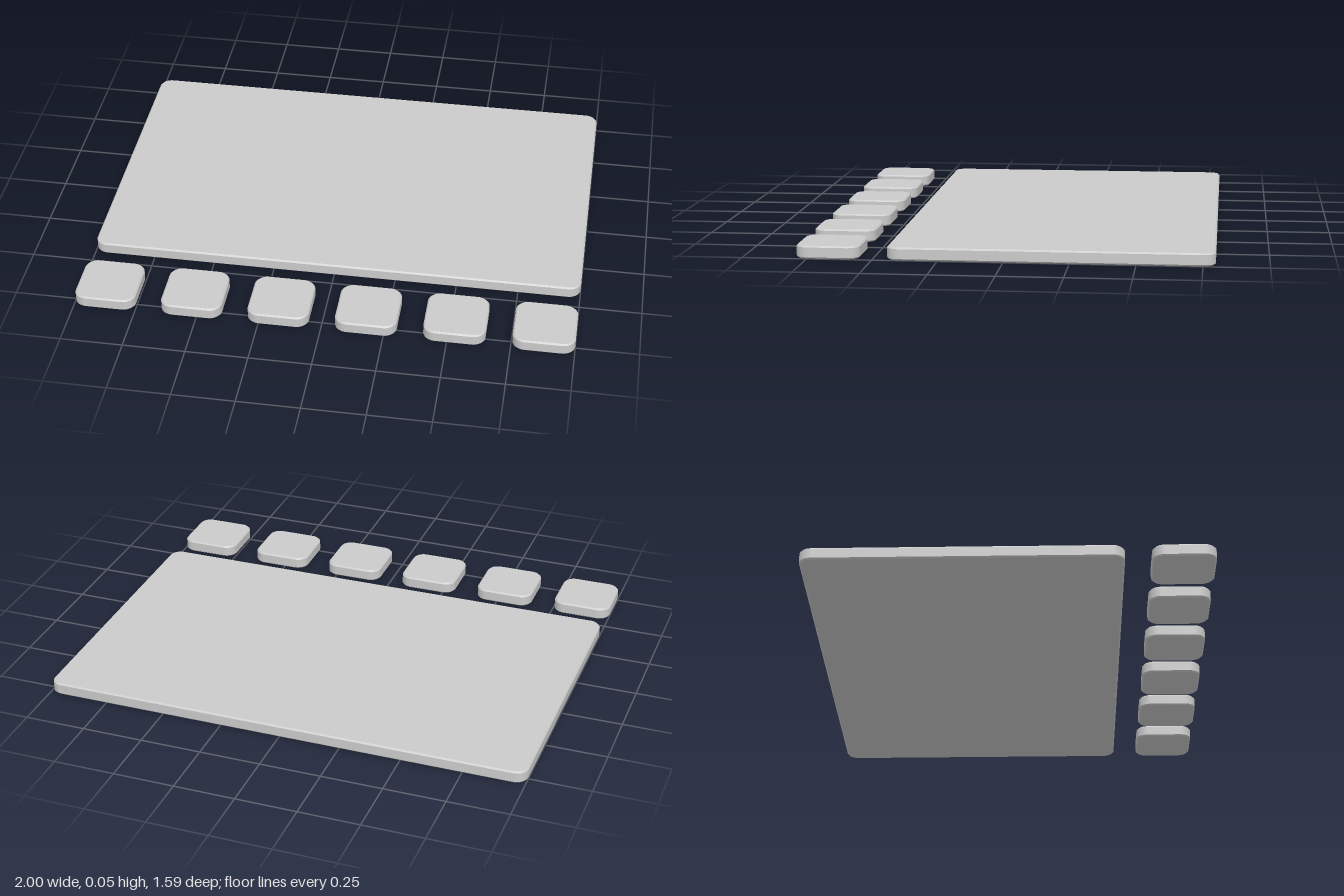
import * as THREE from 'three';
import { toCreasedNormals } from 'three/addons/utils/BufferGeometryUtils.js';

const HEIGHT = 0.05;
const BEVEL = 0.006;
const material = new THREE.MeshStandardMaterial({ color: 0xcccccc });

// Flat slab with rounded corners and a fine chamfer, resting on y = 0
function roundedSlab(width, depth, radius) {
  const x = width / 2 - BEVEL, y = depth / 2 - BEVEL, r = radius - BEVEL;
  const shape = new THREE.Shape();
  shape.absarc(x - r, y - r, r, 0, Math.PI / 2);
  shape.absarc(-x + r, y - r, r, Math.PI / 2, Math.PI);
  shape.absarc(-x + r, -y + r, r, Math.PI, Math.PI * 1.5);
  shape.absarc(x - r, -y + r, r, Math.PI * 1.5, Math.PI * 2);
  shape.closePath();
  const geometry = new THREE.ExtrudeGeometry(shape, {
    depth: HEIGHT - 2 * BEVEL,
    bevelEnabled: true,
    bevelThickness: BEVEL,
    bevelSize: BEVEL,
    bevelSegments: 1,
    curveSegments: 8,
  });
  geometry.rotateX(-Math.PI / 2).translate(0, BEVEL, 0);
  return toCreasedNormals(geometry, Math.PI / 6);
}

export function createModel() {
  const group = new THREE.Group();
  group.name = 'panelWithKeys';

  // Large rectangular panel at the back
  const panel = new THREE.Mesh(roundedSlab(2, 1.245, 0.05), material);
  panel.name = 'panel';
  panel.position.z = -0.175;
  group.add(panel);

  // Row of six small square keys along the front
  const keySize = 0.246;
  const keyGeometry = roundedSlab(keySize, keySize, 0.05);
  const step = (2 - keySize) / 5;
  for (let i = 0; i < 6; i++) {
    const key = new THREE.Mesh(keyGeometry, material);
    key.name = `key${i + 1}`;
    key.position.set((i - 2.5) * step, 0, 0.674);
    group.add(key);
  }
  return group;
}
